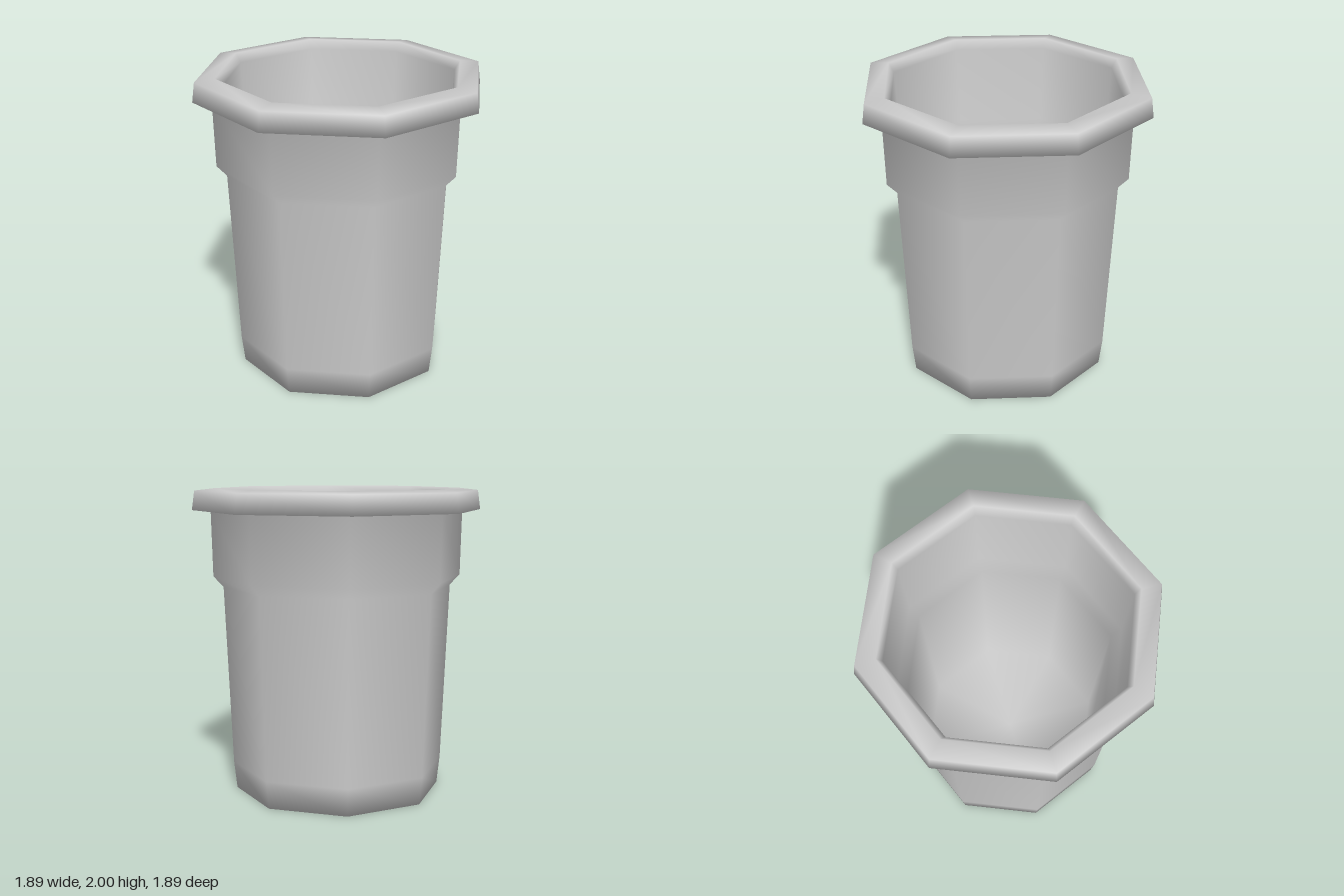
import * as THREE from 'three';

// Eight-sided pot: one closed profile turned around y, smooth shaded.
export function createModel() {
  const group = new THREE.Group();
  group.name = 'pot';
  const material = new THREE.MeshStandardMaterial({ color: 0xcccccc });

  const profile = [
    // base and outer wall with its shoulder
    [0, 0], [0.68, 0], [0.7, 0.18], [0.75, 1.36], [0.815, 1.43], [0.825, 1.86],
    // overhanging rim
    [0.945, 1.86], [0.928, 1.985], [0.8, 2],
    // inner wall and floor
    [0.765, 1.94], [0.735, 1.43], [0.67, 1.36], [0.61, 0.1], [0, 0.1],
  ].map(([x, y]) => new THREE.Vector2(x, y));

  const body = new THREE.Mesh(new THREE.LatheGeometry(profile, 8), material);
  body.name = 'potBody';
  group.add(body);
  return group;
}
